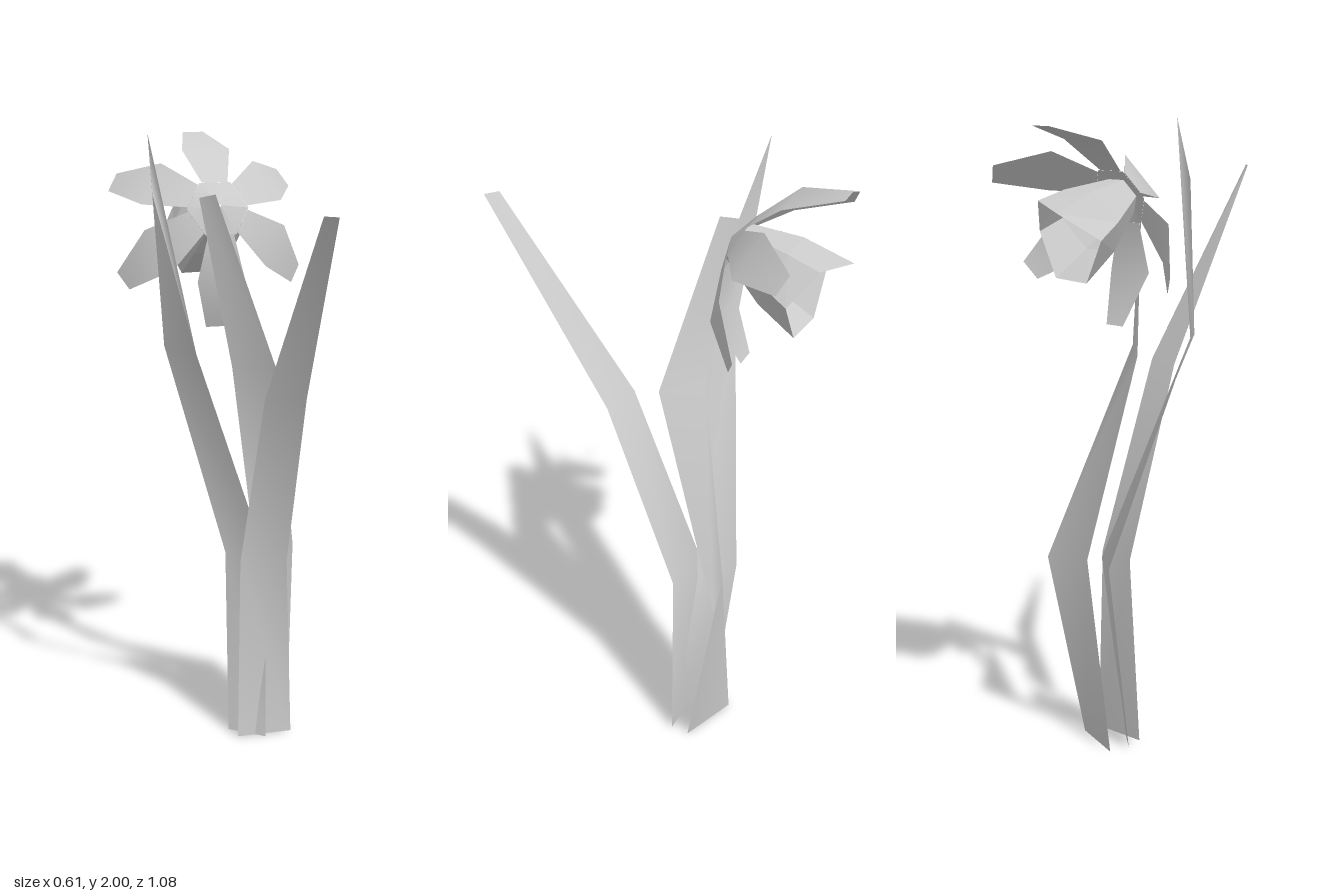
import * as THREE from 'three';

const smooth = new THREE.MeshStandardMaterial({ color: 0xcccccc, side: THREE.DoubleSide });
const flat = new THREE.MeshStandardMaterial({ color: 0xcccccc, side: THREE.DoubleSide, flatShading: true });

// Surface through rows of points, all rows of equal length
function loft(name, rows, material = smooth) {
  const n = rows[0].length;
  const index = [];
  for (let i = 0; i < rows.length - 1; i++) {
    for (let j = 0; j < n - 1; j++) {
      const a = i * n + j;
      index.push(a, a + 1, a + n, a + 1, a + n + 1, a + n);
    }
  }
  const geometry = new THREE.BufferGeometry();
  geometry.setAttribute('position', new THREE.Float32BufferAttribute(rows.flat(2), 3));
  geometry.setIndex(index);
  geometry.computeVertexNormals();
  const mesh = new THREE.Mesh(geometry, material);
  mesh.name = name;
  return mesh;
}

// Flower frame: the axis nods forward and down towards -z
const HEART = new THREE.Vector3(0, 1.775, -0.19);
const AXIS = new THREE.Vector3(0, -0.44, -0.9).normalize();
const UP = new THREE.Vector3(0, 0.9, -0.44).normalize();
const SIDE = new THREE.Vector3(1, 0, 0);

// Point at depth along the axis, out along an angle, and across it
function at(angle, depth, radial, across = 0) {
  const c = Math.cos(angle), s = Math.sin(angle);
  return HEART.clone()
    .addScaledVector(AXIS, depth)
    .addScaledVector(SIDE, c * radial - s * across)
    .addScaledVector(UP, s * radial + c * across)
    .toArray();
}

export function createModel() {
  const model = new THREE.Group();
  model.name = 'flowerPlant';

  // Leaves and stem: flat strips, each row is left edge then right edge
  model.add(loft('frontLeaf', [
    [[0.035, 0, -0.105], [0.22, 0, -0.105]],
    [[0.05, 0.61, -0.13], [0.2, 0.61, -0.1]],
    [[0.065, 1.21, 0.095], [0.19, 1.21, 0.125]],
    [[0.11, 1.82, 0.505], [0.145, 1.82, 0.537]],
  ]));
  model.add(loft('sideLeaf', [
    [[0.02, 0, -0.17], [0.125, 0, -0.08]],
    [[0.03, 0.61, -0.245], [0.145, 0.61, -0.16]],
    [[-0.2, 1.35, -0.125], [-0.123, 1.34, -0.02]],
    [[-0.225, 2, -0.212], [-0.225, 1.82, -0.154]],
  ]));
  model.add(loft('stem', [
    [[0.04, 0, -0.235], [0.225, 0, -0.165]],
    [[0.13, 0.62, -0.24], [0.275, 0.61, -0.273]],
    [[0.02, 1.27, -0.122], [0.136, 1.28, -0.022]],
    [[-0.067, 1.8, -0.192], [-0.028, 1.815, -0.14]],
  ]));

  const flower = new THREE.Group();
  flower.name = 'flower';
  model.add(flower);

  // Hub: shallow six-sided dish behind the petals
  const corners = [0, 1, 2, 3, 4, 5, 6].map(i => i * Math.PI / 3);
  flower.add(loft('hub', [
    corners.map(t => at(t, 0, 0.004)),
    corners.map(t => at(t, 0.03, 0.1)),
  ]));

  // Six petals: narrow waist, broad middle, blunt tip
  const profile = [[0.03, 0.087, 0.042], [0.09, 0.22, 0.078], [0.22, 0.332, 0.034]];
  for (let i = 0; i < 6; i++) {
    const angle = Math.PI / 6 + i * Math.PI / 3;
    flower.add(loft('petal', profile.map(([depth, r, w]) =>
      [at(angle, depth, r, w), at(angle, depth, r, -w)])));
  }

  // Trumpet: open six-sided tube with an uneven rim
  const rim = [0.25, 0.27, 0.33, 0.27, 0.32, 0.31, 0.25];
  flower.add(loft('trumpet', [
    corners.map(t => at(t, 0.02, 0.06)),
    corners.map(t => at(t, 0.17, 0.115)),
    corners.map((t, i) => at(t, rim[i], 0.136)),
  ], flat));

  return model;
}
